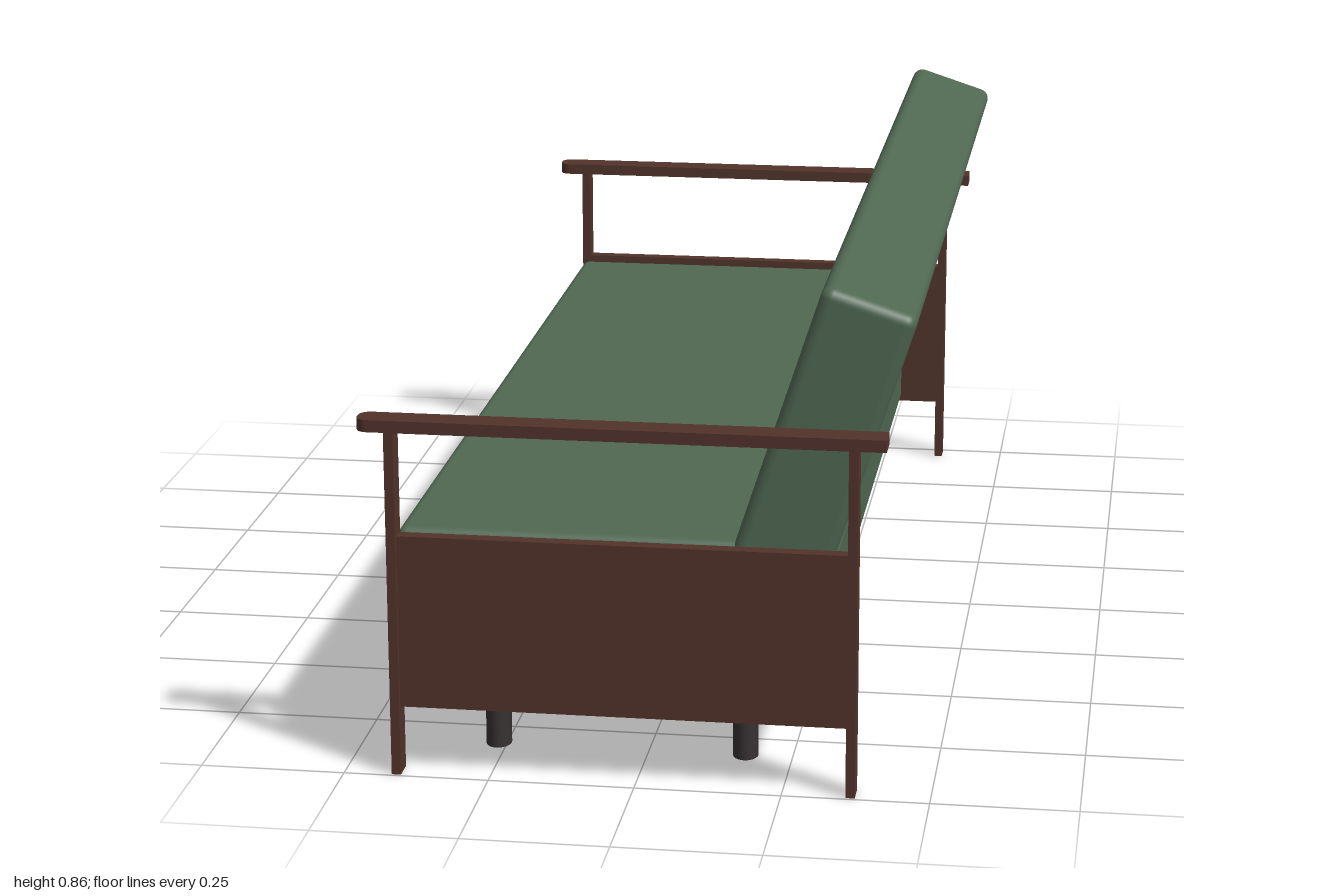
import * as THREE from 'three';
import { RoundedBoxGeometry } from 'three/addons/geometries/RoundedBoxGeometry.js';

const material = (name, color) => new THREE.MeshStandardMaterial({ name, color });

export function createModel() {
  const fabric = material('green fabric', 0x506852);
  const wood = material('dark brown wood', 0x52332b);
  const metal = material('dark leg', 0x363132);

  const sofa = new THREE.Group();
  sofa.name = 'sofa';

  const add = (parent, name, geometry, mat, x, y, z) => {
    const mesh = new THREE.Mesh(geometry, mat);
    mesh.name = name;
    mesh.position.set(x, y, z);
    parent.add(mesh);
    return mesh;
  };
  // Box given by its lower and upper limits
  const box = (parent, name, mat, [x0, x1], [y0, y1], [z0, z1], radius = 0) => {
    const size = [x1 - x0, y1 - y0, z1 - z0];
    const geometry = radius
      ? new RoundedBoxGeometry(...size, 4, radius)
      : new THREE.BoxGeometry(...size);
    return add(parent, name, geometry, mat, (x0 + x1) / 2, (y0 + y1) / 2, (z0 + z1) / 2);
  };

  // Upholstered base and seat, which face -x
  box(sofa, 'base', fabric, [-0.37, 0.285], [0.13, 0.25], [-0.945, 0.945], 0.018);
  box(sofa, 'seatCushion', fabric, [-0.413, 0.2], [0.24, 0.422], [-0.932, 0.932], 0.016);

  // Backrest leans back; placed from its top front corner
  const tilt = Math.PI / 10, height = 0.65, depth = 0.165;
  const c = Math.cos(tilt), s = Math.sin(tilt);
  const back = add(sofa, 'backrest', new RoundedBoxGeometry(depth, height, 1.882, 4, 0.02), fabric,
    0.308 + c * depth / 2 - s * height / 2, 0.87 - s * depth / 2 - c * height / 2, 0);
  back.rotation.z = -tilt;

  // Armrest plan: rounded front end, square rear end
  const r = 0.02, x0 = -0.465, x1 = 0.42, w = 0.025;
  const plan = new THREE.Shape();
  plan.moveTo(x1, -w);
  plan.lineTo(x1, w);
  plan.lineTo(x0 + r, w);
  plan.absarc(x0 + r, w - r, r, Math.PI / 2, Math.PI, false);
  plan.lineTo(x0, r - w);
  plan.absarc(x0 + r, r - w, r, Math.PI, Math.PI * 1.5, false);
  plan.closePath();
  const armGeometry = new THREE.ExtrudeGeometry(plan, { depth: 0.021, bevelEnabled: false, curveSegments: 8 });
  armGeometry.rotateX(-Math.PI / 2);

  // Oval legs
  const legGeometry = new THREE.CylinderGeometry(0.022, 0.022, 0.13, 24);
  legGeometry.scale(1, 1, 1.25);

  for (const side of [-1, 1]) {
    const frame = new THREE.Group();
    frame.name = side > 0 ? 'leftSideFrame' : 'rightSideFrame';
    sofa.add(frame);
    const z = side * 0.975;
    add(frame, 'armrest', armGeometry, wood, 0, 0.609, z);
    box(frame, 'frontPost', wood, [-0.418, -0.402], [0, 0.609], [z - 0.02, z + 0.02]);
    box(frame, 'rearPost', wood, [0.358, 0.374], [0, 0.609], [z - 0.02, z + 0.02]);
    box(frame, 'sidePanel', wood, [-0.402, 0.358], [0.121, 0.425], [z - 0.012, z + 0.012]);
    for (const x of [-0.262, 0.17]) add(sofa, 'leg', legGeometry, metal, x, 0.07, side * 0.837);
  }
  return sofa;
}
